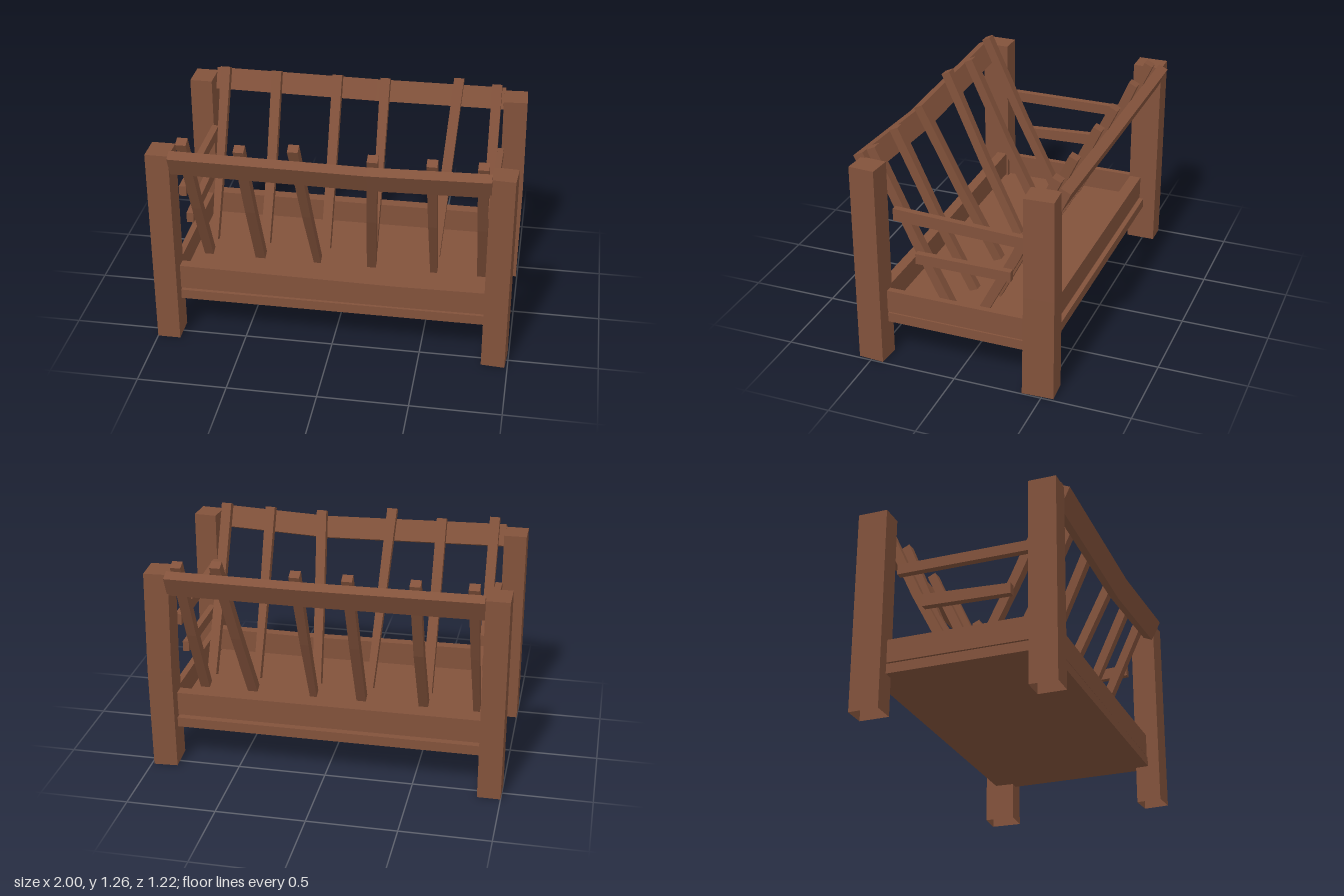
import * as THREE from 'three';

const wood = new THREE.MeshStandardMaterial({ color: 0x82523b, flatShading: true, side: THREE.DoubleSide });
wood.name = 'brown wood';

// Four-sided beam through a path; a and b are the half-extent vectors of its section,
// each point may carry a fourth value that scales the a side.
function beam(name, path, a, b, openStart = false) {
  const first = new THREE.Vector3(...path[0]);
  const last = new THREE.Vector3(...path[path.length - 1]);
  const av = new THREE.Vector3(...a), bv = new THREE.Vector3(...b);
  if (av.clone().cross(bv).dot(last.sub(first)) < 0) av.negate();
  const rings = path.map(([x, y, z, s = 1]) =>
    [[-1, -1], [1, -1], [1, 1], [-1, 1]].map(([i, j]) =>
      new THREE.Vector3(x, y, z).addScaledVector(av, i * s).addScaledVector(bv, j)));
  const pos = [];
  const quad = (p, q, r, s) => [p, q, r, p, r, s].forEach(v => pos.push(v.x, v.y, v.z));
  for (let k = 0; k < rings.length - 1; k++) {
    for (let i = 0; i < 4; i++) {
      const j = (i + 1) % 4;
      quad(rings[k][i], rings[k][j], rings[k + 1][j], rings[k + 1][i]);
    }
  }
  const s = rings[0], e = rings[rings.length - 1];
  if (!openStart) quad(s[3], s[2], s[1], s[0]);
  quad(e[0], e[1], e[2], e[3]);
  const geo = new THREE.BufferGeometry();
  geo.setAttribute('position', new THREE.Float32BufferAttribute(pos, 3));
  geo.computeVertexNormals();
  const mesh = new THREE.Mesh(geo, wood);
  mesh.name = name;
  return mesh;
}

export function createModel() {
  const model = new THREE.Group();
  model.name = 'hayRack';
  const add = (...args) => model.add(beam(...args));

  // Corner posts, hollow at the foot
  add('frontRightPost', [[-0.935, 0, 0.497], [-0.935, 1.17, 0.497]], [0.065, 0, 0], [0, 0, 0.078], true);
  add('backRightPost', [[-0.935, 0, -0.485], [-0.935, 1.17, -0.485]], [0.065, 0, 0], [0, 0, 0.085], true);
  add('frontLeftPost', [[0.923, 0, 0.497], [0.922, 1.17, 0.497]], [0.066, 0, 0.005], [-0.005, 0, 0.073], true);
  add('backLeftPost', [[0.922, 0, -0.473, 1.05], [0.928, 0.6, -0.478], [0.922, 1.17, -0.472, 0.97]],
    [0.004, 0, 0.084], [0.068, 0, -0.004], true);

  // Floor of the trough
  add('floor', [[-0.93, 0.248, 0], [0.915, 0.248, 0]], [0, 0.028, 0], [0, 0, 0.495]);

  // Boards around the floor
  add('frontBoard', [[-0.88, 0.36, 0.46], [0.35, 0.35, 0.46, 0.93], [0.87, 0.354, 0.46, 0.95]],
    [0, 0.072, 0], [0, 0, 0.03]);
  add('backBoard', [[-0.88, 0.353, -0.437], [0.87, 0.353, -0.437]], [0, 0.068, 0], [0, 0, 0.034]);
  for (const [name, x] of [['rightBoard', -0.91], ['leftBoard', 0.898]]) {
    add(name, [[x, 0.35, -0.42], [x, 0.35, 0.44]], [0.018, 0, 0], [0, 0.066, 0]);
  }

  // Leaning rails along the top
  const lean = 0.42, rise = 0.907;
  add('frontRail', [[-0.87, 1.123, 0.553], [0.2, 1.105, 0.538], [0.86, 1.128, 0.555]],
    [0, rise * 0.064, lean * 0.064], [0, -lean * 0.03, rise * 0.03]);
  add('backRail', [[-0.87, 1.125, -0.556], [0.1, 1.117, -0.55], [0.86, 1.12, -0.546]],
    [0, rise * 0.064, -lean * 0.064], [0, lean * 0.03, rise * 0.03]);

  // Slanted bars: [top x, bottom x, top y, outward bend, bottom width scale]
  const frontBars = [
    [-0.805, -0.805, 1.24, 0.01, 0.9], [-0.495, -0.495, 1.215, 0.01, 1], [-0.197, -0.155, 1.25, 0.01, 0.7],
    [0.225, 0.165, 1.215, 0.01, 0.9], [0.54, 0.53, 1.215, 0.012, 0.7], [0.81, 0.81, 1.22, 0.01, 0.95],
  ];
  const backBars = [
    [-0.805, -0.803, 1.22, 0.015, 0.65], [-0.495, -0.495, 1.215, 0.035, 0.95], [-0.13, -0.13, 1.215, 0.01, 0.95],
    [0.155, 0.155, 1.215, 0.01, 0.7], [0.587, 0.52, 1.24, 0.01, 1], [0.81, 0.81, 1.22, 0.012, 0.95],
  ];
  for (const [name, bars, side] of [['frontBar', frontBars, 1], ['backBar', backBars, -1]]) {
    bars.forEach(([xt, xb, top, bend, w], i) => {
      const zAt = y => 0.068 + (y - 0.29) * 0.482;
      const mid = 0.72, t = (mid - 0.29) / (top - 0.29);
      add(name + (i + 1), [
        [xb, 0.29, side * zAt(0.29), w],
        [xb + (xt - xb) * t, mid, side * (zAt(mid) + bend), (1 + w) / 2],
        [xt, top, side * zAt(top), 1],
      ], [0.029, 0, 0], [0, -0.011, side * 0.024]);
    });
  }

  // Cross slats at the two ends
  add('leftUpperSlat', [[0.856, 0.87, 0.387, 1.1], [0.856, 0.84, -0.39]], [0, 0.032, 0], [0.018, 0, 0]);
  add('leftLowerSlat', [[0.856, 0.625, 0.265], [0.856, 0.625, -0.28]], [0, 0.03, 0], [0.018, 0, 0]);
  add('rightUpperSlat', [[-0.856, 0.86, 0.39], [-0.856, 0.86, -0.385]], [0, 0.03, 0], [0.02, 0, 0]);
  add('rightLowerSlat', [[-0.856, 0.625, 0.275], [-0.856, 0.645, -0.23, 1.2]], [0, 0.03, 0], [0.02, 0, 0]);

  return model;
}
